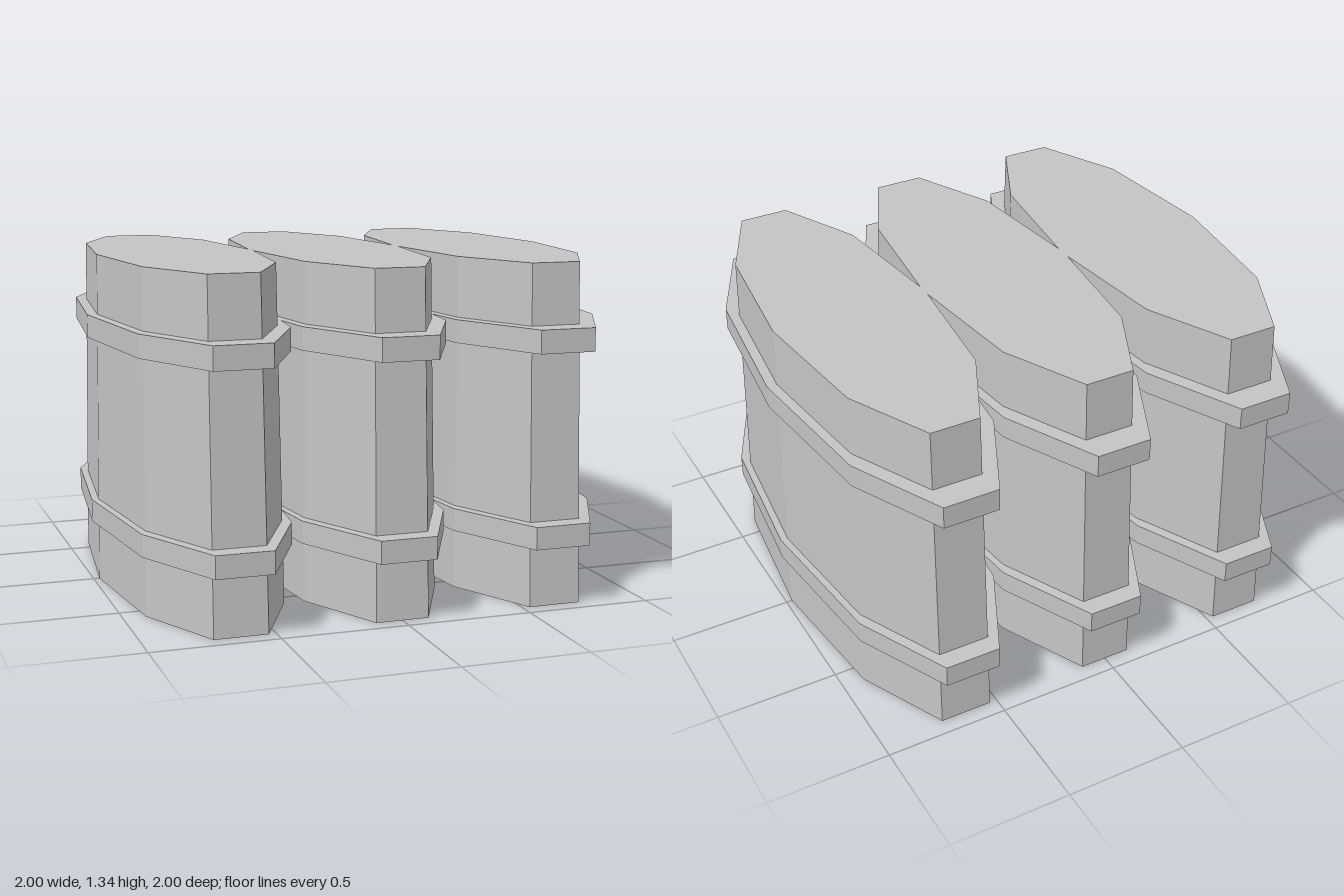
import * as THREE from 'three';

export function createModel() {
  const group = new THREE.Group();
  const grey = new THREE.MeshStandardMaterial({ name: 'grey', color: 0xc4c4c4 });

  // Ten-sided prism stretched front to back, with pointed sides and flat ends
  const prism = (name, topRadius, bottomRadius, y0, y1) => {
    const geometry = new THREE.CylinderGeometry(topRadius, bottomRadius, y1 - y0, 10, 1, false, Math.PI / 2)
      .scale(0.365, 1, 1.0515)
      .translate(0, (y0 + y1) / 2, 0)
      .toNonIndexed();
    geometry.computeVertexNormals(); // flat facets
    const mesh = new THREE.Mesh(geometry, grey);
    mesh.name = name;
    return mesh;
  };

  // Three tapered columns side by side, each with two straight bands
  ['rightColumn', 'middleColumn', 'leftColumn'].forEach((name, i) => {
    const column = new THREE.Group();
    column.name = name;
    column.position.x = (i - 1) * 0.635;
    column.add(
      prism('body', 0.88, 0.935, 0, 1.335),
      prism('lowerBand', 1, 1, 0.245, 0.335),
      prism('upperBand', 1, 1, 1.003, 1.095)
    );
    group.add(column);
  });

  return group;
}
